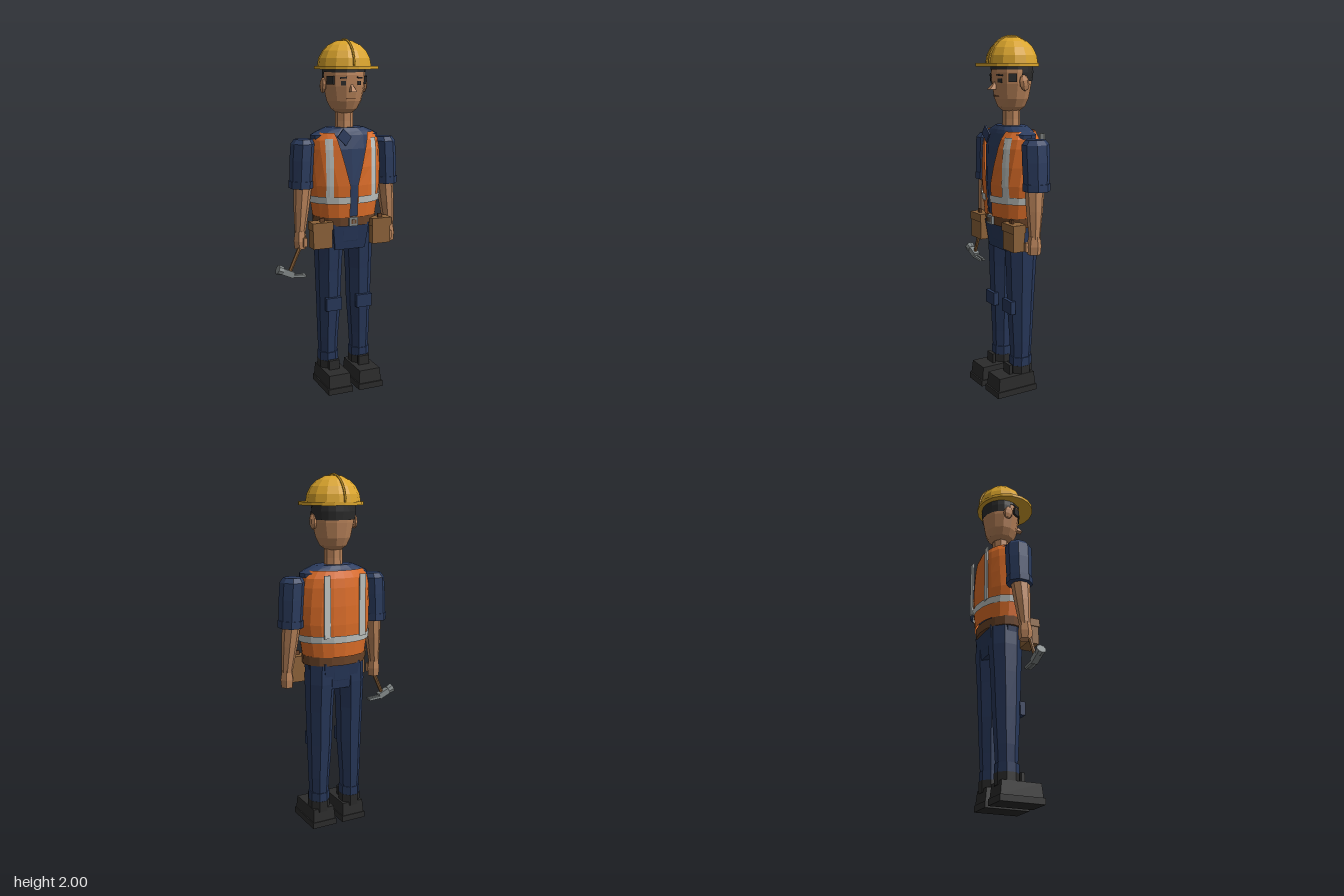
import * as THREE from 'three';

const mat = (name, color, side = THREE.FrontSide) => {
  const m = new THREE.MeshStandardMaterial({ color, side });
  m.name = name;
  return m;
};

// Surface through elliptical rows [y, rx, rz, cx, cz]; from(y, rx) and to(y, rx) limit the angle, measured from the front.
function loft(rows, n, { phase = 0, from, to } = {}) {
  const pos = [], idx = [], open = !!from;
  for (const [y, rx, rz, cx = 0, cz = 0] of rows) {
    const a = open ? from(y, rx) : phase, b = open ? to(y, rx) : phase + Math.PI * 2;
    for (let j = 0; j <= n; j++) {
      const t = a + (b - a) * j / n;
      pos.push(cx + Math.sin(t) * rx, y, cz + Math.cos(t) * rz);
    }
  }
  const w = n + 1;
  for (let i = 0; i < rows.length - 1; i++) {
    for (let j = 0; j < n; j++) {
      const p = i * w + j;
      idx.push(p, p + 1, p + w + 1, p, p + w + 1, p + w);
    }
  }
  if (!open) {
    const top = (rows.length - 1) * w;
    for (let j = 1; j < n - 1; j++) idx.push(0, j + 1, j, top, top + j, top + j + 1);
  }
  const g = new THREE.BufferGeometry();
  g.setAttribute('position', new THREE.Float32BufferAttribute(pos, 3));
  g.setIndex(idx);
  return g;
}

export function createModel() {
  const M = {
    yellow: mat('helmet yellow', 0xdba52c),
    skin: mat('skin', 0xb9835a),
    black: mat('black', 0x2b2b2b, THREE.DoubleSide),
    shirt: mat('shirt navy', 0x2c3d60, THREE.DoubleSide),
    trousers: mat('trouser navy', 0x273759),
    orange: mat('vest orange', 0xdc6d28, THREE.DoubleSide),
    silver: mat('reflective silver', 0xc0c4c1, THREE.DoubleSide),
    belt: mat('belt brown', 0x6b4428),
    leather: mat('pouch leather', 0x8c6239),
    steel: mat('steel', 0x838989),
  };
  const model = new THREE.Group();
  const body = new THREE.Group();
  body.name = 'worker';
  body.position.set(0.05, 0, -0.023);
  model.add(body);

  // Faceted mesh helper
  const add = (name, geo, material, x = 0, y = 0, z = 0, parent = body) => {
    const g = geo.index ? geo.toNonIndexed() : geo;
    g.computeVertexNormals();
    const m = new THREE.Mesh(g, material);
    m.name = name;
    m.position.set(x, y, z);
    parent.add(m);
    return m;
  };
  const box = (name, w, h, d, material, x, y, z, parent) =>
    add(name, new THREE.BoxGeometry(w, h, d), material, x, y, z, parent);

  // Helmet
  const dome = new THREE.SphereGeometry(1, 14, 5, 0, Math.PI * 2, 0, Math.PI / 2);
  add('helmetDome', dome.scale(0.152, 0.145, 0.14), M.yellow, 0, 1.845, 0);
  add('helmetBrim', new THREE.CylinderGeometry(1, 1, 0.018, 18).scale(0.18, 1, 0.17), M.yellow, 0, 1.84, 0.028);
  const ridge = new THREE.TorusGeometry(0.14, 0.007, 6, 18, Math.PI).rotateY(Math.PI / 2).scale(1, 1.03, 1);
  add('helmetRidge', ridge, M.yellow, 0, 1.846, 0);

  // Head and neck
  add('head', loft([
    [1.595, 0.045, 0.05], [1.617, 0.075, 0.077], [1.66, 0.098, 0.095],
    [1.74, 0.117, 0.108], [1.8, 0.12, 0.112], [1.84, 0.117, 0.108],
  ], 12, { phase: Math.PI / 12 }), M.skin);
  add('neck', loft([[1.48, 0.054, 0.052], [1.55, 0.05, 0.048], [1.62, 0.05, 0.048]], 8, { phase: Math.PI / 8 }), M.skin);
  add('hair', loft([[1.755, 0.121, 0.112], [1.8, 0.125, 0.117], [1.84, 0.123, 0.114]], 10,
    { from: () => 1.5, to: () => Math.PI * 2 - 1.5 }), M.black);
  add('fringe', loft([[1.815, 0.123, 0.115], [1.84, 0.122, 0.114]], 12,
    { phase: Math.PI / 12 }), M.black);
  add('nose', new THREE.ConeGeometry(0.024, 0.055, 4).rotateY(Math.PI / 4).translate(0, 0.0275, 0)
    .applyMatrix4(new THREE.Matrix4().makeShear(0, 0, 0, -0.6, 0, 0)), M.skin, 0, 1.71, 0.125);
  box('mouth', 0.05, 0.006, 0.008, M.belt, 0, 1.675, 0.095);
  for (const s of [-1, 1]) {
    box('eye', 0.026, 0.022, 0.008, M.black, s * 0.046, 1.757, 0.099).rotation.y = s * 0.42;
    const brow = box('eyebrow', 0.038, 0.008, 0.009, M.black, s * 0.048, 1.786, 0.102);
    brow.rotation.set(0, s * 0.42, -s * 0.08);
    box('sideburn', 0.014, 0.045, 0.045, M.black, s * 0.104, 1.773, 0.055).rotation.y = -s * 0.5;
    const ear = add('ear', new THREE.SphereGeometry(1, 7, 5).scale(0.017, 0.044, 0.03), M.skin, s * 0.124, 1.745, -0.005);
    ear.rotation.x = 0.2;
  }

  // Shirt
  add('shirt', loft([
    [0.98, 0.172, 0.11], [1.2, 0.19, 0.12], [1.4, 0.2, 0.112],
    [1.475, 0.205, 0.096], [1.495, 0.165, 0.088], [1.515, 0.115, 0.075],
  ], 16), M.shirt);
  const flap = new THREE.Shape([[-0.095, 1.47], [-0.06, 1.515], [-0.012, 1.47], [-0.045, 1.42]]
    .map(([x, y]) => new THREE.Vector2(x, y)));
  add('collarFlap', new THREE.ExtrudeGeometry(flap, { depth: 0.009, bevelEnabled: false }), M.shirt, 0, 0, 0.124);

  // Vest, open along a V at the front
  const vestRows = [
    [1.02, 0.186, 0.138], [1.2, 0.214, 0.147], [1.3, 0.213, 0.145],
    [1.4, 0.209, 0.138], [1.45, 0.2, 0.13], [1.49, 0.172, 0.114],
  ];
  const gap = (y, rx) => Math.asin((0.022 + Math.max(0, y - 1.2) * 0.26) / rx);
  add('vest', loft(vestRows, 18, { from: gap, to: (y, rx) => Math.PI * 2 - gap(y, rx) }), M.orange);
  add('waistStripe', loft([[1.1, 0.207, 0.15], [1.14, 0.213, 0.153]], 18,
    { from: gap, to: (y, rx) => Math.PI * 2 - gap(y, rx) }), M.silver);
  const stripeRows = [[1.12, 0.206, 0.149], [1.2, 0.218, 0.151], [1.3, 0.217, 0.149], [1.4, 0.213, 0.142], [1.46, 0.201, 0.132]];
  for (const s of [-1, 1]) {
    const edge = x => (y, rx) => Math.asin(s * x / rx);
    add('frontStripe', loft(stripeRows, 2,
      { from: edge(s > 0 ? 0.114 : 0.152), to: edge(s > 0 ? 0.152 : 0.114) }), M.silver);
    box('backStripe', 0.037, 0.34, 0.007, M.silver, s * 0.107, 1.3, -0.137);
  }

  // Belt with buckle and pouches
  add('belt', loft([[0.97, 0.186, 0.128], [1.022, 0.19, 0.13]], 16), M.belt);
  box('buckle', 0.052, 0.05, 0.014, M.steel, 0, 0.997, 0.134);
  box('buckleCentre', 0.03, 0.024, 0.008, M.belt, 0, 0.997, 0.139);
  box('bucklePin', 0.006, 0.028, 0.008, M.steel, 0, 0.997, 0.141);
  for (const s of [-1, 1]) {
    box('pouch', 0.112, 0.13, 0.07, M.leather, s * 0.18, 0.92, 0.092);
    box('pouchFlap', 0.122, 0.045, 0.08, M.leather, s * 0.18, 0.98, 0.092);
    box('pouchTool', 0.025, 0.05, 0.012, M.belt, s * 0.178, 1.0, 0.103);
  }

  // Hips
  add('hips', loft([[0.83, 0.1, 0.085], [0.88, 0.165, 0.1], [0.99, 0.178, 0.112]], 12, { phase: Math.PI / 12 }), M.trousers);
  add('crotchPanel', new THREE.CylinderGeometry(0.155, 0.13, 0.15, 4, 1).rotateY(Math.PI / 4).scale(1, 1, 0.98), M.trousers, 0, 0.905, 0);

  for (const s of [-1, 1]) {
    const side = s > 0 ? 'left' : 'right';
    // Legs
    const lx = s * 0.095;
    add(side + 'Leg', loft([
      [0.15, 0.052, 0.058, s * 0.1, -0.004], [0.3, 0.06, 0.066, s * 0.1, -0.006],
      [0.5, 0.07, 0.078, lx, -0.006], [0.7, 0.076, 0.086, lx, -0.008],
      [0.86, 0.083, 0.096, s * 0.092, -0.01], [0.97, 0.083, 0.098, s * 0.088, -0.008],
    ], 8, { phase: Math.PI / 8 }), M.trousers);
    add(side + 'TrouserCuff', loft([[0.13, 0.061, 0.066, s * 0.1, -0.004], [0.205, 0.061, 0.066, s * 0.1, -0.004]],
      8, { phase: Math.PI / 8 }), M.trousers);
    box(side + 'KneePad', 0.095, 0.075, 0.03, M.trousers, lx, 0.508, 0.071);

    // Boots
    box(side + 'BootSole', 0.15, 0.035, 0.255, M.black, lx, 0.0175, 0.056);
    const upper = new THREE.CylinderGeometry(0.66, 0.707, 0.075, 4, 1).rotateY(Math.PI / 4).scale(0.138, 1, 0.242);
    add(side + 'BootUpper', upper, M.black, lx, 0.0725, 0.054);
    add(side + 'BootShaft', loft([[0.09, 0.062, 0.066, s * 0.1, -0.004], [0.155, 0.062, 0.068, s * 0.1, -0.004]],
      8, { phase: Math.PI / 8 }), M.black);
    box(side + 'BootTongue', 0.065, 0.07, 0.02, M.black, lx, 0.13, 0.076);

    // Arms
    add(side + 'Sleeve', loft([
      [1.2, 0.064, 0.072, s * 0.26], [1.34, 0.068, 0.077, s * 0.253],
      [1.43, 0.067, 0.077, s * 0.247], [1.455, 0.05, 0.055, s * 0.245],
    ], 8, { phase: Math.PI / 8 }), M.shirt);
    add(side + 'SleeveCuff', loft([[1.185, 0.07, 0.076, s * 0.26], [1.225, 0.071, 0.077, s * 0.259]],
      8, { phase: Math.PI / 8 }), M.shirt);
    add(side + 'Forearm', loft([
      [0.93, 0.03, 0.03, s * 0.277, 0.021], [1.08, 0.044, 0.046, s * 0.264, 0.014], [1.21, 0.05, 0.056, s * 0.252, 0.008],
    ], 8, { phase: Math.PI / 8 }), M.skin);
    add(side + 'Hand', loft([
      [0.845, 0.034, 0.036, s * 0.277, 0.024], [0.89, 0.039, 0.04, s * 0.277, 0.024], [0.945, 0.03, 0.032, s * 0.277, 0.022],
    ], 6, { phase: Math.PI / 6 }), M.skin);
    box(side + 'Thumb', 0.022, 0.05, 0.022, M.skin, s * 0.262, 0.885, 0.06);
  }

  // Hammer in the right hand
  const hammer = new THREE.Group();
  hammer.name = 'hammer';
  hammer.position.set(-0.275, 0.885, 0.045);
  hammer.rotation.z = -0.42;
  body.add(hammer);
  add('hammerHandle', new THREE.CylinderGeometry(0.012, 0.01, 0.24, 6), M.leather, 0, -0.085, 0, hammer);
  box('hammerHead', 0.075, 0.034, 0.036, M.steel, -0.012, -0.19, 0, hammer);
  add('hammerFace', new THREE.CylinderGeometry(0.024, 0.028, 0.032, 8).rotateZ(-Math.PI / 2), M.steel, -0.058, -0.19, 0, hammer);
  for (const s of [-1, 1]) {
    const claw = box('hammerClaw', 0.08, 0.014, 0.014, M.steel, 0.058, -0.184, s * 0.011, hammer);
    claw.rotation.z = 0.35;
  }
  return model;
}
